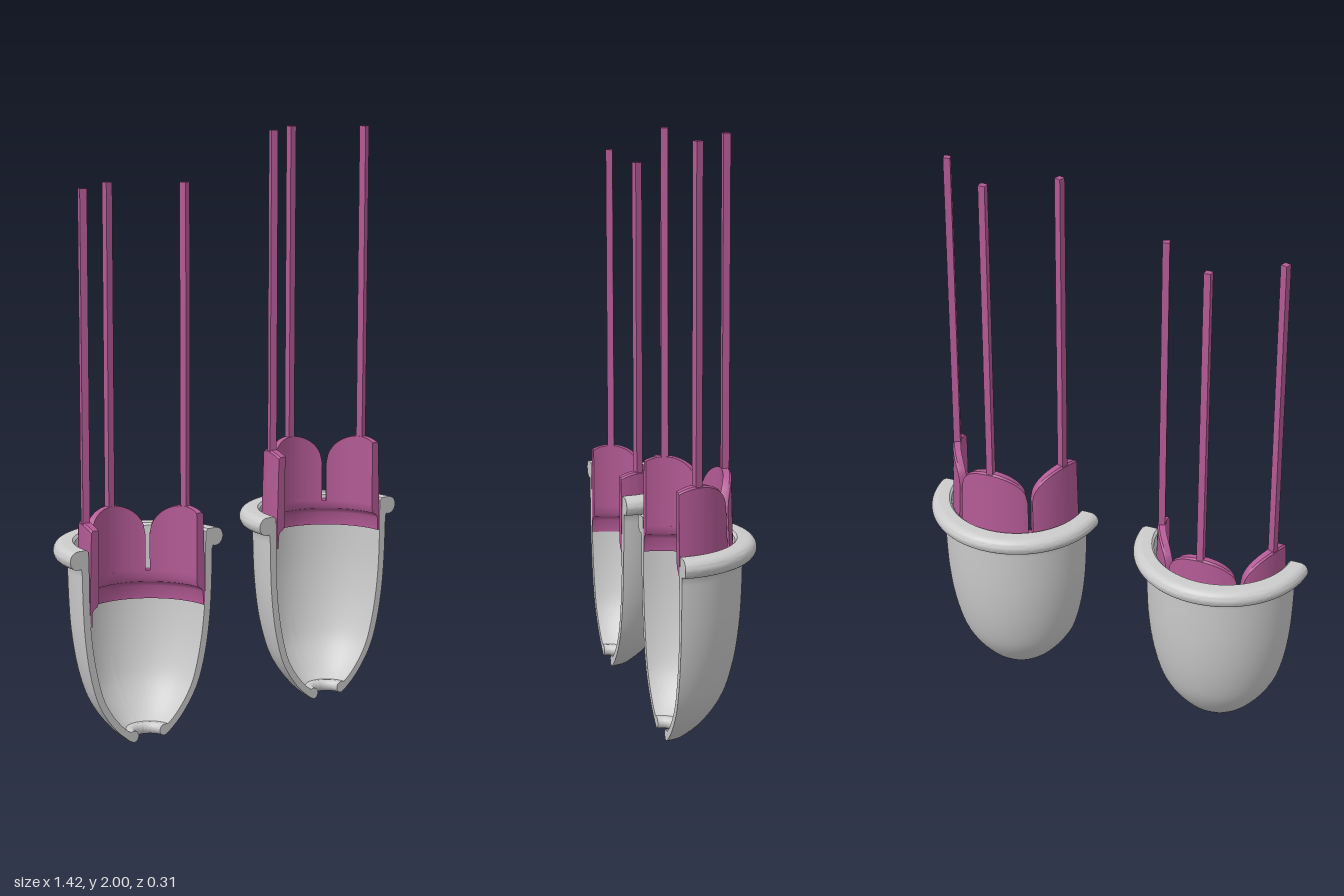
import * as THREE from 'three';
import { toCreasedNormals } from 'three/addons/utils/BufferGeometryUtils.js';

const DEG = Math.PI / 180;
const grey = new THREE.MeshStandardMaterial({ color: 0xcccccc });
const pink = new THREE.MeshStandardMaterial({ color: 0xb35a95 });
const V = (r, y) => new THREE.Vector2(r, y);

// Sweeps a closed, counter-clockwise (radius, height) section about the y axis,
// from angle a0 to a1 (0 = straight back, 90 = left), and caps both ends.
function sweep(section, a0, a1, steps) {
  const pos = [];
  const point = (p, a) => [p.x * Math.sin(a), p.y, -p.x * Math.cos(a)];
  const rings = [];
  for (let i = 0; i <= steps; i++) {
    const a = (a0 + (a1 - a0) * i / steps) * DEG;
    const flat = section(a / DEG);
    rings.push({ flat, pts: flat.map(p => point(p, a)) });
  }
  for (let i = 0; i < steps; i++) {
    const A = rings[i].pts, B = rings[i + 1].pts;
    A.forEach((p, k) => {
      const n = (k + 1) % A.length;
      pos.push(...p, ...A[n], ...B[k], ...A[n], ...B[n], ...B[k]);
    });
  }
  [rings[0], rings[steps]].forEach(({ flat, pts }, end) => {
    for (const [a, b, c] of THREE.ShapeUtils.triangulateShape(flat.slice(), [])) {
      pos.push(...pts[a], ...pts[end ? b : c], ...pts[end ? c : b]);
    }
  });
  const geo = new THREE.BufferGeometry();
  geo.setAttribute('position', new THREE.Float32BufferAttribute(pos, 3));
  return toCreasedNormals(geo, 0.6);
}

function add(parent, name, geo, mat) {
  const mesh = new THREE.Mesh(geo, mat);
  mesh.name = name;
  parent.add(mesh);
  return mesh;
}

// Cup wall with a rolled rim and a small beaded drain hole
function cupSection() {
  const outer = new THREE.SplineCurve([V(0.08, 0.008), V(0.13, 0.05), V(0.18, 0.112),
    V(0.215, 0.18), V(0.242, 0.28), V(0.258, 0.39), V(0.265, 0.5), V(0.268, 0.615)]).getPoints(28);
  const inner = new THREE.SplineCurve([V(0.24, 0.64), V(0.239, 0.5), V(0.232, 0.39),
    V(0.215, 0.28), V(0.188, 0.18), V(0.155, 0.118), V(0.112, 0.066), V(0.078, 0.038)]).getPoints(28);
  const rim = [], bead = [];
  for (let i = 0; i <= 16; i++) {
    const a = (-110 + 200 * i / 16) * DEG;
    rim.push(V(0.283 + 0.031 * Math.cos(a), 0.654 + 0.031 * Math.sin(a)));
  }
  for (let i = 0; i <= 8; i++) {
    const a = (70 + 200 * i / 8) * DEG;
    bead.push(V(0.064 + 0.02 * Math.cos(a), 0.02 + 0.02 * Math.sin(a)));
  }
  return [...outer, ...rim, V(0.25, 0.685), V(0.242, 0.677), ...inner, ...bead];
}

// Collar with bevelled foot, three petals and three upright rods
function buildInsert(rodTop, slit, foot, peak) {
  const insert = new THREE.Group();
  insert.name = 'petalInsert';
  const ri = 0.202, ro = 0.236, rt = 0.23;
  const collar = [V(0.23, foot), V(0.238, foot), V(ro, slit), V(ri, slit),
    V(ri, foot + 0.08), V(0.209, foot + 0.064), V(0.223, foot + 0.056), V(0.229, foot + 0.045)];
  add(insert, 'collar', sweep(() => collar, -90, 90, 64), pink);

  const half = 34, round = 0.105;
  const petal = (centre) => (a) => {
    const t = Math.min(1, Math.abs(a - centre) / half);
    const top = peak - round * (1 - Math.sqrt(1 - t * t));
    return [V(ri, slit - 0.002), V(ro, slit - 0.002), V(rt, top - 0.006), V(rt - 0.006, top), V(ri, top)];
  };
  for (const centre of [-72, 0, 72]) {
    const from = Math.max(-90, centre - half), to = Math.min(90, centre + half);
    add(insert, 'petal', sweep(petal(centre), from, to, 36), pink);

    const base = peak - 0.08;
    const rod = add(insert, 'rod', new THREE.BoxGeometry(0.024, rodTop - base, 0.024), pink);
    const a = centre * DEG;
    rod.position.set(0.216 * Math.sin(a), (rodTop + base) / 2, -0.216 * Math.cos(a));
    rod.rotation.y = -a;
  }
  return insert;
}

export function createModel() {
  const model = new THREE.Group();
  const section = cupSection();
  const cupGeo = sweep(() => section, -90, 90, 64);
  // right cup holds its insert low, left cup holds it raised
  const units = [
    { name: 'rightUnit', x: -0.395, insert: [1.845, 0.53, 0.425, 0.76] },
    { name: 'leftUnit', x: 0.395, insert: [2.0, 0.665, 0.57, 0.905] },
  ];
  for (const u of units) {
    const unit = new THREE.Group();
    unit.name = u.name;
    add(unit, 'cup', cupGeo, grey);
    unit.add(buildInsert(...u.insert));
    unit.position.set(u.x, 0, 0.157);
    model.add(unit);
  }
  return model;
}
